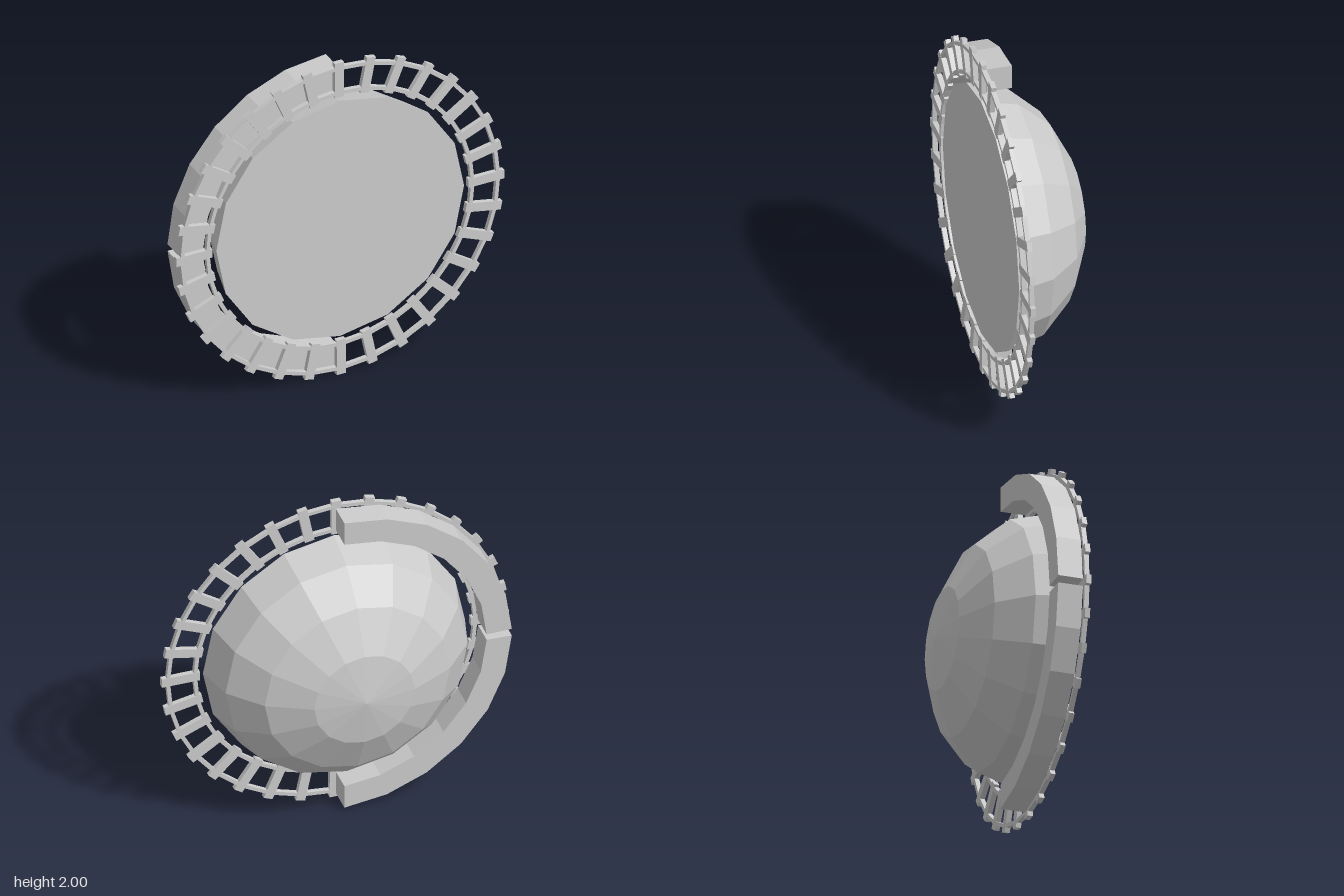
import * as THREE from 'three';

const material = new THREE.MeshStandardMaterial({ color: 0xcccccc, flatShading: true });

// Points along a faceted arc
function arcPoints(radius, start, end, segments) {
  const points = [];
  for (let i = 0; i <= segments; i++) {
    const a = start + (end - start) * i / segments;
    points.push(new THREE.Vector2(radius * Math.cos(a), radius * Math.sin(a)));
  }
  return points;
}

function extrudeBetween(shape, zBack, zFront) {
  const geometry = new THREE.ExtrudeGeometry(shape, { depth: zFront - zBack, bevelEnabled: false });
  return geometry.translate(0, 0, zBack);
}

export function createModel() {
  const model = new THREE.Group();
  model.name = 'domeWithTrack';
  const wheel = new THREE.Group();
  wheel.name = 'wheel';
  wheel.position.y = 1;
  model.add(wheel);

  function add(name, geometry, parent = wheel) {
    const mesh = new THREE.Mesh(geometry, material);
    mesh.name = name;
    parent.add(mesh);
    return mesh;
  }

  // Squashed hemisphere with a flat front, bulging to the back
  const profile = [new THREE.Vector2(0, 0)];
  for (let i = 0; i <= 4; i++) {
    const a = i * Math.PI / 8;
    profile.push(new THREE.Vector2(i < 4 ? 0.755 * Math.cos(a) : 0, 0.555 * Math.sin(a)));
  }
  const dome = add('dome', new THREE.LatheGeometry(profile, 16).rotateX(-Math.PI / 2));
  dome.position.set(0, -0.001, 0.275);

  // Circular track: two rails crossed by ties
  const track = new THREE.Group();
  track.name = 'track';
  track.rotation.z = 0.006;
  wheel.add(track);

  const tieCount = 32;
  for (const [name, inner, outer] of [['innerRail', 0.797, 0.819], ['outerRail', 0.953, 0.975]]) {
    const shape = new THREE.Shape(arcPoints(outer, 0, Math.PI * 2, tieCount).slice(0, -1));
    shape.holes.push(new THREE.Path(arcPoints(inner, 0, Math.PI * 2, tieCount).slice(0, -1)));
    add(name, extrudeBetween(shape, 0.25, 0.277), track);
  }
  for (let i = 0; i < tieCount; i++) {
    const tie = new THREE.BoxGeometry(0.22, 0.055, 0.029);
    tie.translate(0.89, 0, 0.2635).rotateZ(i / tieCount * Math.PI * 2);
    add('tie', tie, track);
  }

  // Two quarter-ring blocks behind the track on the right-hand half
  function addBlock(name, start, end) {
    const outline = [
      ...arcPoints(0.965, start, end, 6),
      ...arcPoints(0.82, start, end, 6).reverse(),
    ];
    const block = add(name, extrudeBetween(new THREE.Shape(outline), 0.1, 0.242));
    block.position.y = -0.008;
  }
  addBlock('upperBlock', Math.PI / 2, Math.PI - 0.015);
  addBlock('lowerBlock', Math.PI + 0.03, Math.PI * 1.5);

  return model;
}
